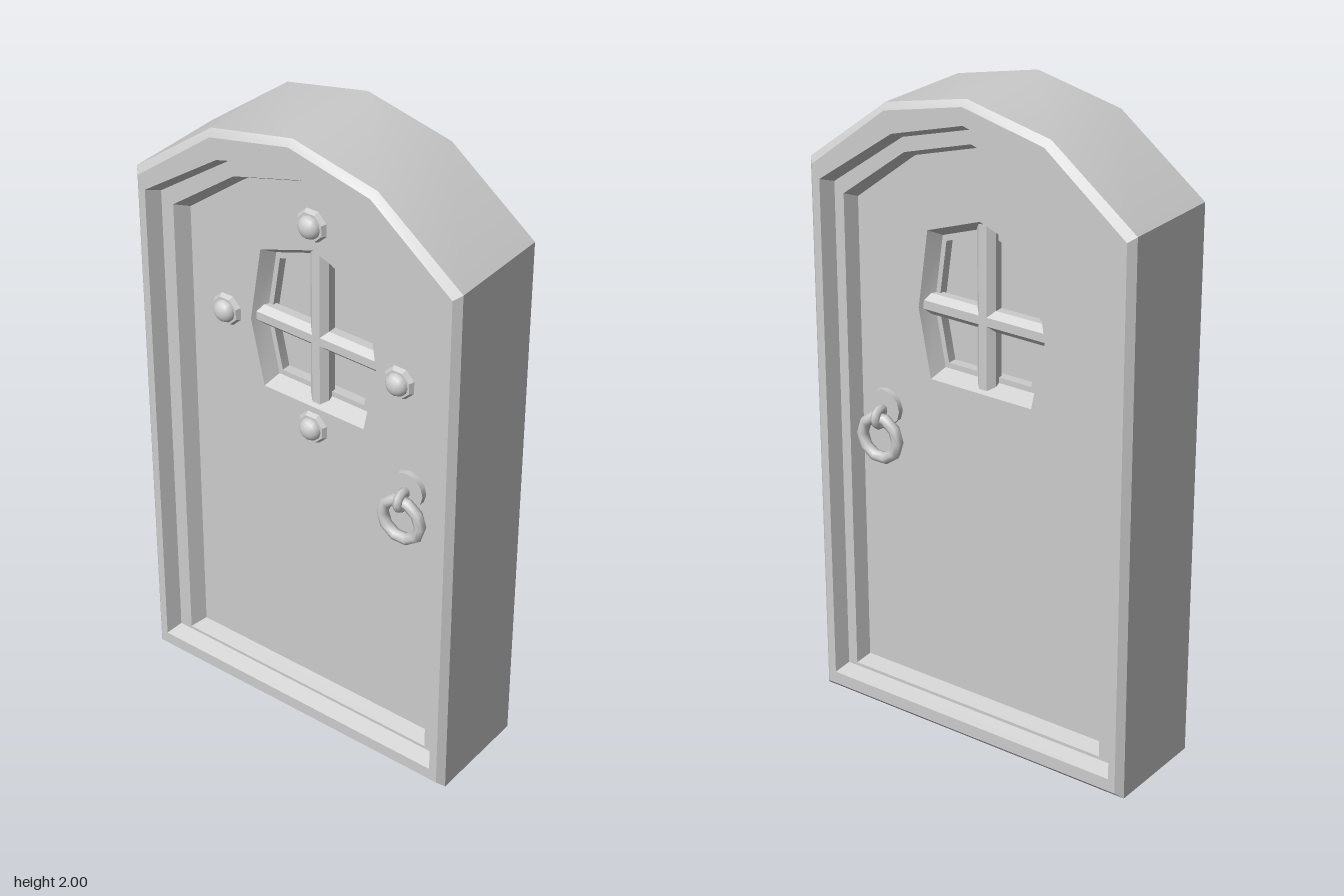
import * as THREE from 'three';
import { toCreasedNormals } from 'three/addons/utils/BufferGeometryUtils.js';

const FACE = 0.095; // door surface distance from the middle plane

// Seven-sided arched outline, counter-clockwise from the bottom left
function arch(left, right, bottom, corner, shoulderX, shoulderY, apex) {
  const mid = (left + right) / 2;
  return [
    [left, bottom], [right, bottom], [right, corner], [mid + shoulderX, shoulderY],
    [mid, apex], [mid - shoulderX, shoulderY], [left, corner],
  ];
}

// Skin a series of { pts, z } loops with equal point counts
function loft(rings, closed = false) {
  const n = rings[0].pts.length;
  const pos = [], index = [];
  rings.forEach(r => r.pts.forEach(p => pos.push(p[0], p[1], r.z)));
  const last = closed ? rings.length : rings.length - 1;
  for (let k = 0; k < last; k++) {
    const m = (k + 1) % rings.length;
    for (let i = 0; i < n; i++) {
      const j = (i + 1) % n;
      index.push(k * n + i, m * n + i, m * n + j, k * n + i, m * n + j, k * n + j);
    }
  }
  const geo = new THREE.BufferGeometry();
  geo.setAttribute('position', new THREE.Float32BufferAttribute(pos, 3));
  geo.setIndex(index);
  return toCreasedNormals(geo, 0.6);
}

const toVectors = pts => pts.map(p => new THREE.Vector2(p[0], p[1]));

// Flat slab centred on z = 0, with an optional hole
function slab(pts, depth, hole) {
  const shape = new THREE.Shape(toVectors(pts));
  if (hole) shape.holes.push(new THREE.Path(toVectors(hole)));
  return new THREE.ExtrudeGeometry(shape, { depth, bevelEnabled: false }).translate(0, 0, -depth / 2);
}

export function createModel() {
  const model = new THREE.Group();
  model.name = 'archedDoor';
  const material = new THREE.MeshStandardMaterial({ color: 0xcccccc });
  const add = (name, geo, x = 0, y = 0, z = 0, parent = model) => {
    const mesh = new THREE.Mesh(geo, material);
    mesh.name = name;
    mesh.position.set(x, y, z);
    parent.add(mesh);
    return mesh;
  };

  // Stepped frame: profile from the door face outwards, mirrored to the back
  const profile = [
    { pts: arch(-0.42, 0.44, 0.11, 1.61, 0.22, 1.775, 1.84), z: FACE - 0.005 },
    { pts: arch(-0.447, 0.457, 0.09, 1.63, 0.23, 1.797, 1.865), z: 0.14 },
    { pts: arch(-0.49, 0.49, 0.08, 1.66, 0.24, 1.84, 1.908), z: 0.14 },
    { pts: arch(-0.51, 0.507, 0.06, 1.675, 0.245, 1.86, 1.93), z: 0.185 },
    { pts: arch(-0.533, 0.533, 0.02, 1.715, 0.268, 1.922, 1.982), z: 0.185 },
    { pts: arch(-0.553, 0.553, 0, 1.73, 0.277, 1.94, 2), z: 0.165 },
  ];
  const back = profile.map(r => ({ pts: r.pts, z: -r.z })).reverse();
  add('frame', loft([...profile, ...back]));

  // Door leaf with window opening
  const cx = 0.01, cy = 1.35;
  const opening = [
    [-0.167, 1.108], [0.187, 1.108], [0.228, 1.32], [0.193, 1.563],
    [0.01, 1.628], [-0.173, 1.563], [-0.212, 1.32],
  ];
  const shrink = s => opening.map(p => [cx + (p[0] - cx) * s, cy + (p[1] - cy) * s]);
  add('doorLeaf', slab(arch(-0.435, 0.45, 0.1, 1.62, 0.225, 1.785, 1.85), FACE * 2, opening));

  // Sloped window lining with an inner ledge, and the pane
  const lining = [{ s: 1, z: FACE }, { s: 0.89, z: 0.05 }, { s: 0.82, z: 0.05 }, { s: 0.82, z: 0.02 }]
    .map(r => ({ pts: shrink(r.s), z: r.z }));
  add('windowLining', loft([...lining.map(r => ({ pts: r.pts, z: -r.z })), ...lining.slice().reverse()]));
  add('windowPane', slab(shrink(0.85), 0.04));

  // Octagonal glazing bars on both sides
  const bar = length => toCreasedNormals(
    new THREE.CylinderGeometry(0.035, 0.035, length, 8).rotateY(Math.PI / 8), 0.6);
  const uprightBar = bar(0.5);
  const crossBar = bar(0.425).rotateZ(Math.PI / 2);
  for (const side of [1, -1]) {
    add('windowUprightBar', uprightBar, cx, 1.365, side * 0.05);
    add('windowCrossBar', crossBar, cx, 1.328, side * 0.05);
  }

  // Domed studs around the window, front only
  const studBase = toCreasedNormals(
    new THREE.CylinderGeometry(0.044, 0.053, 0.016, 8).rotateY(Math.PI / 8).rotateX(Math.PI / 2), 0.6);
  const studDome = new THREE.SphereGeometry(0.036, 12, 5, 0, Math.PI * 2, 0, Math.PI / 2)
    .rotateX(Math.PI / 2).scale(1, 1, 0.8);
  for (const [x, y] of [[cx, 1.708], [-0.297, 1.32], [0.309, 1.32], [cx, 1.04]]) {
    const stud = new THREE.Group();
    stud.name = 'stud';
    stud.position.set(x, y, FACE);
    add('studBase', studBase, 0, 0, 0.006, stud);
    add('studDome', studDome, 0, 0, 0.012, stud);
    model.add(stud);
  }

  // Ring handle on both sides: plate, eye and ring
  const plate = toCreasedNormals(
    new THREE.CylinderGeometry(0.057, 0.057, 0.024, 12).rotateX(Math.PI / 2), 0.6);
  const eye = new THREE.TorusGeometry(0.026, 0.014, 6, 10).rotateY(Math.PI / 2);
  const ring = new THREE.TorusGeometry(0.065, 0.018, 8, 10);
  for (const side of [1, -1]) {
    const handle = new THREE.Group();
    handle.name = side > 0 ? 'frontHandle' : 'backHandle';
    handle.position.set(0.35, 0.89, side * FACE);
    add('handlePlate', plate, 0, 0.09, side * 0.006, handle);
    add('handleEye', eye, 0, 0.066, side * 0.034, handle);
    add('handleRing', ring, 0, 0, side * 0.038, handle);
    model.add(handle);
  }
  return model;
}
